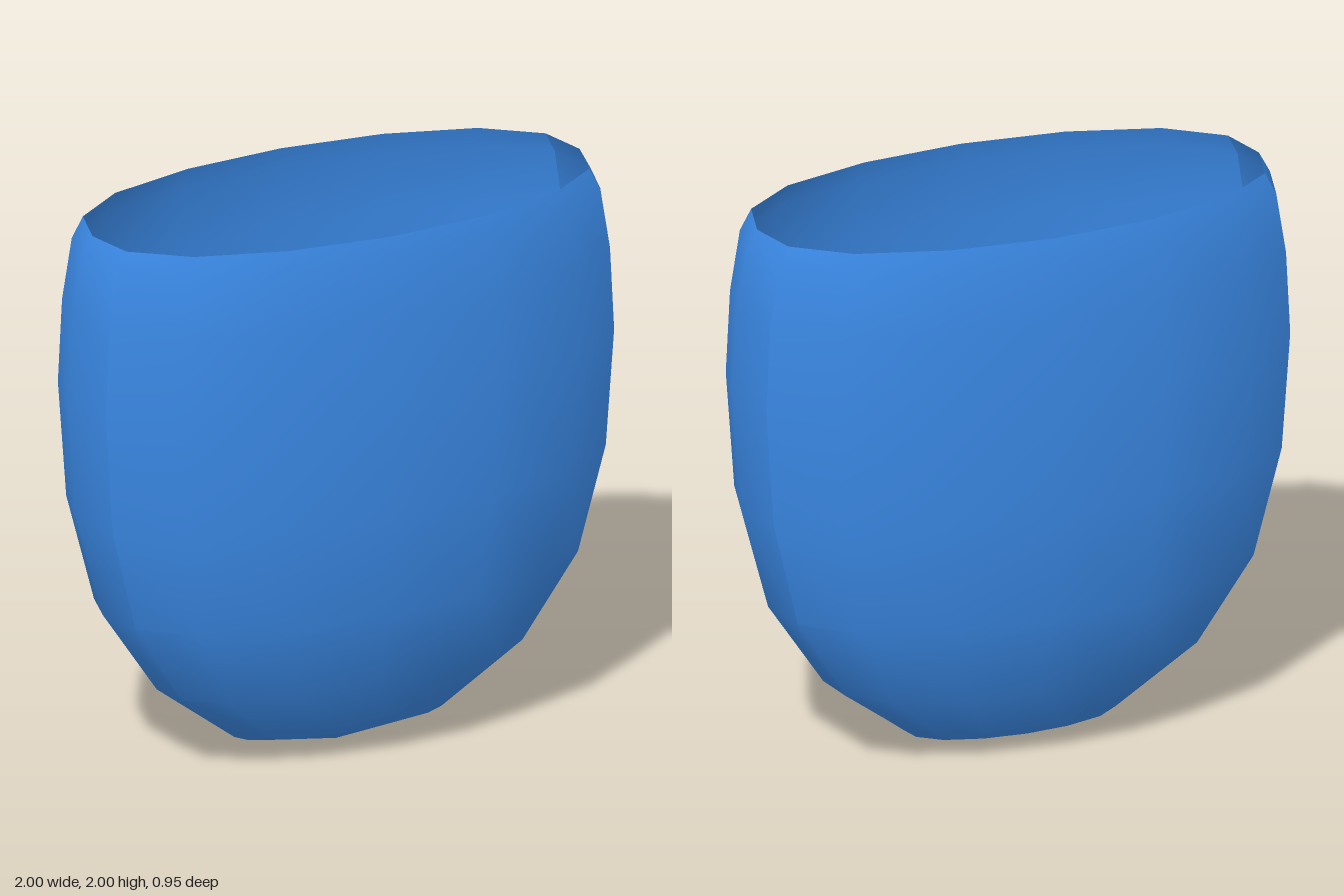
import * as THREE from 'three';
import { toCreasedNormals } from 'three/addons/utils/BufferGeometryUtils.js';

export function createModel() {
  const group = new THREE.Group();

  // profile rings: scale, height, lift at the front, lift at the back
  const rings = [
    [0.38, 0.07, 0.03, 0], [0.67, 0.295, 0, -0.025], [0.87, 0.6, 0, -0.02],
    [0.97, 0.98, 0, 0], [1, 1.4, 0, 0], [0.985, 1.7, 0, 0],
    [0.95, 1.92, 0, 0], [0.91, 1.995, 0, 0],
  ];
  // one quarter of the flattened 16-sided outline
  const quarter = [[1, 0], [0.95, 0.19], [0.745, 0.345], [0.4, 0.443], [0, 0.477]];
  const SIDES = 16;
  const outline = (i) => {
    const k = i % 8;
    const [x, z] = quarter[k <= 4 ? k : 8 - k];
    const front = i % SIDES < 8;
    return [(k > 4 ? -x : x) * (front ? 1 : -1), front ? z : -z];
  };

  const positions = [0, 0, 0];
  for (const [s, y, front, back] of rings) {
    for (let i = 0; i < SIDES; i++) {
      const [x, z] = outline(i);
      const lift = (z > 0 ? front : back) * Math.abs(z) / 0.477;
      positions.push(x * s, y + lift, z * s);
    }
  }

  const index = [];
  const at = (r, i) => 1 + r * SIDES + (i % SIDES);
  for (let i = 0; i < SIDES; i++) {
    index.push(0, at(0, i), at(0, i + 1)); // pointed base
    for (let r = 0; r < rings.length - 1; r++) {
      const a = at(r, i), b = at(r, i + 1), c = at(r + 1, i + 1), d = at(r + 1, i);
      index.push(a, d, c, a, c, b);
    }
  }

  const geometry = new THREE.BufferGeometry();
  geometry.setAttribute('position', new THREE.Float32BufferAttribute(positions, 3));
  geometry.setIndex(index);

  // thin open shell, seen from inside and outside
  const shell = new THREE.Mesh(
    toCreasedNormals(geometry, THREE.MathUtils.degToRad(35)),
    new THREE.MeshStandardMaterial({ color: 0x3a88e4, side: THREE.DoubleSide })
  );
  shell.name = 'openShell';
  group.add(shell);
  return group;
}
